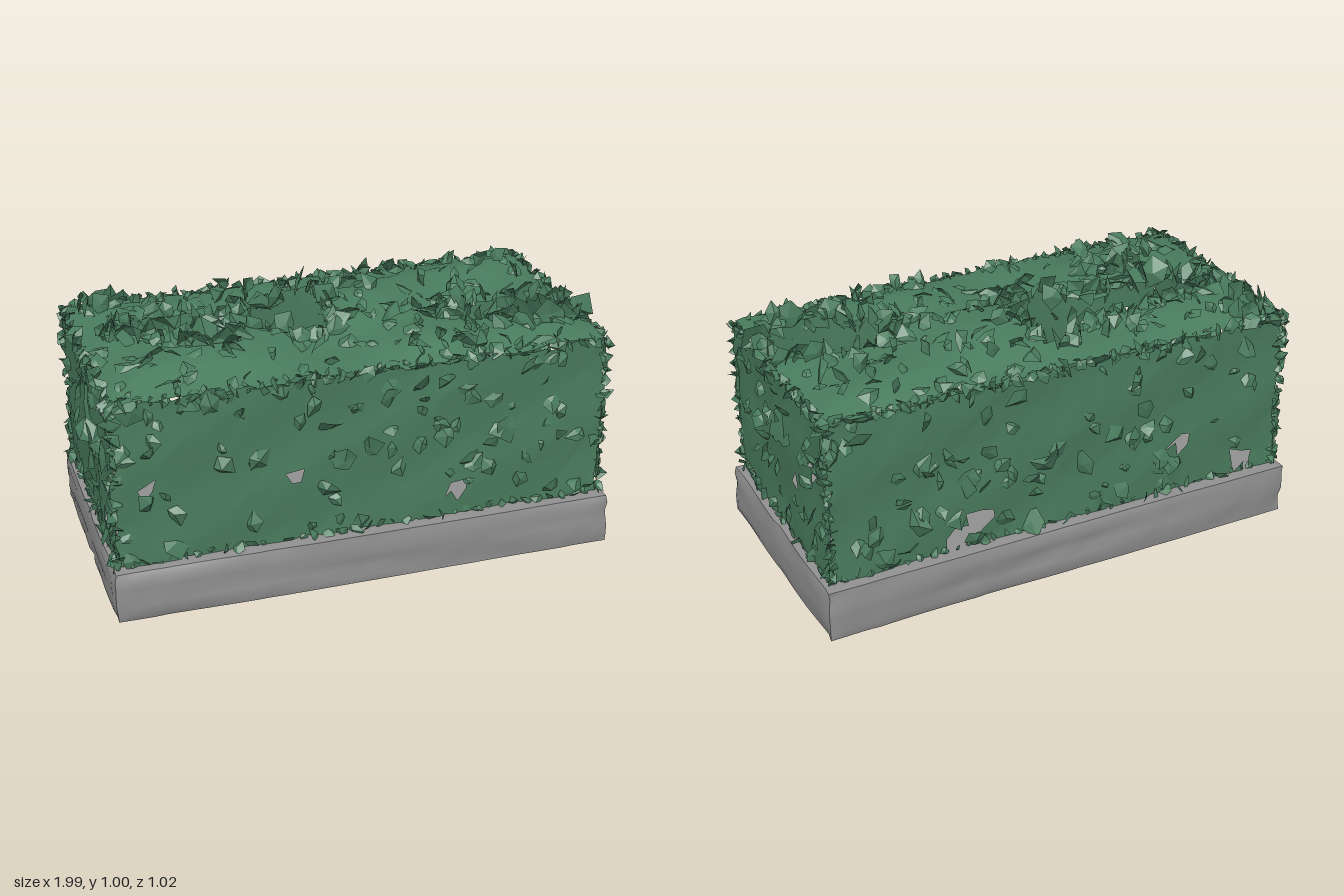
import * as THREE from 'three';
import { mergeGeometries } from 'three/addons/utils/BufferGeometryUtils.js';

// seeded random numbers
function makeRandom(seed) {
  let s = seed;
  return (a = 0, b = 1) => {
    s = (s * 1664525 + 1013904223) % 4294967296;
    return a + (b - a) * (s / 4294967296);
  };
}

const V = (x, y, z) => new THREE.Vector3(x, y, z);

// soft bumps used for hedge and stone
const bump = (a, b) => Math.sin(a * 7.1 + b * 3.3) * 0.5 + Math.sin(b * 9.7 - a * 4.1 + 1) * 0.5;

export function createModel() {
  const rnd = makeRandom(77);
  const foliage = new THREE.MeshStandardMaterial({ color: 0x4a7d5e, side: THREE.DoubleSide });
  foliage.name = 'hedge green';
  const leafMat = new THREE.MeshStandardMaterial({ color: 0x4a7d5e, side: THREE.DoubleSide, flatShading: true });
  leafMat.name = 'leaf green';
  const stone = new THREE.MeshStandardMaterial({ color: 0x919191 });
  stone.name = 'stone grey';

  const model = new THREE.Group();
  model.name = 'hedgePlanter';

  // stone base: box with worn edges, dents that break at the block seams
  const hx = 0.984, hz = 0.511, hy = 0.105;
  const base = new THREE.BoxGeometry(hx * 2, hy * 2, hz * 2, 40, 6, 20);
  const p = base.attributes.position;
  for (let i = 0; i < p.count; i++) {
    const x = p.getX(i), y = p.getY(i), z = p.getZ(i);
    const onX = Math.abs(x) > hx - 1e-4, onY = Math.abs(y) > hy - 1e-4, onZ = Math.abs(z) > hz - 1e-4;
    const edge = onX + onY + onZ > 1 ? 0.007 : 0;
    const block = Math.floor(x / 0.4 + 0.02) * 2.3 + Math.floor(z / 0.5 - 0.04) * 1.7;
    const dent = 0.009 * Math.max(0, 0.2 + bump(x + y * 5 + block, z - y * 4 + block));
    p.setXYZ(i,
      x - (onX ? Math.sign(x) * (edge + dent) : 0) + 0.005,
      y - (onY ? Math.sign(y) * (edge * 0.5 + (y > 0 ? dent * 0.3 : 0)) : 0) + hy,
      z - (onZ ? Math.sign(z) * (edge + dent) : 0));
  }
  base.computeVertexNormals();
  const baseMesh = new THREE.Mesh(base, stone);
  baseMesh.name = 'stoneBase';
  model.add(baseMesh);

  // height of the lumpy top, low along its rim
  const topLift = (u, v) => {
    const rim = Math.min(1, Math.min(0.95 - Math.abs(u), 0.455 - Math.abs(v)) / 0.15);
    return Math.max(0, rim) * (0.03 + 0.022 * bump(u, v));
  };

  // each side: centre, directions across / up / outward, size, and ragged holes [u, v, ru, rv]
  const X = V(1, 0, 0), Y = V(0, 1, 0), Z = V(0, 0, 1);
  const yMid = 0.53, tall = 0.65;
  const sides = [
    { name: 'front', c: V(0, yMid, 0.455), u: X, v: Y, n: Z, w: 1.9, h: tall, leaves: 85, reach: 0.03,
      holes: [[0.36, -0.21, 0.045, 0.04], [-0.28, -0.06, 0.03, 0.03], [-0.84, -0.03, 0.025, 0.03], [0.78, -0.03, 0.03, 0.02]] },
    { name: 'back', c: V(0, yMid, -0.455), u: X.clone().negate(), v: Y, n: Z.clone().negate(), w: 1.9, h: tall, leaves: 85, reach: 0.03,
      holes: [[-0.36, -0.22, 0.05, 0.05], [-0.45, -0.28, 0.06, 0.04], [0.8, -0.26, 0.06, 0.05], [0.5, -0.12, 0.03, 0.03]] },
    { name: 'left', c: V(0.947, yMid, 0), u: Z.clone().negate(), v: Y, n: X, w: 0.91, h: tall, leaves: 38, reach: 0.025,
      holes: [[-0.05, 0.08, 0.15, 0.04], [0.02, 0.12, 0.05, 0.06], [0.33, 0.08, 0.08, 0.02], [-0.4, -0.29, 0.05, 0.04], [0.14, -0.05, 0.025, 0.025]] },
    { name: 'right', c: V(-0.947, yMid, 0), u: Z, v: Y, n: X.clone().negate(), w: 0.91, h: tall, leaves: 38, reach: 0.025,
      holes: [[0.05, 0.08, 0.16, 0.05], [-0.02, 0.12, 0.06, 0.07], [0.3, -0.2, 0.05, 0.04]] },
    { name: 'top', c: V(0, 0.86, 0), u: X, v: Z.clone().negate(), n: Y, w: 1.9, h: 0.91, leaves: 110, reach: 0.05, lift: topLift,
      holes: [[-0.58, 0.1, 0.27, 0.09], [-0.2, 0.08, 0.2, 0.12], [-0.07, 0.18, 0.08, 0.16], [-0.1, -0.07, 0.1, 0.08],
        [-0.5, -0.13, 0.1, 0.04], [0.66, -0.1, 0.26, 0.1], [0.76, -0.2, 0.17, 0.1], [0.43, -0.36, 0.05, 0.05], [-0.82, 0.37, 0.07, 0.06]] },
  ];

  const inHole = (s, u, v) => s.holes.some(([a, b, ru, rv]) => ((u - a) / ru) ** 2 + ((v - b) / rv) ** 2 < 1);
  const place = (s, u, v, out) => s.c.clone().addScaledVector(s.u, u).addScaledVector(s.v, v)
    .addScaledVector(s.n, out + (s.lift ? s.lift(u, v) : 0));

  // jittered sheet with the triangles inside the holes left out
  function sheet(s) {
    const nx = Math.round(s.w / 0.05), ny = Math.round(s.h / 0.05);
    const geo = new THREE.PlaneGeometry(s.w, s.h, nx, ny);
    const pos = geo.attributes.position, flat = [];
    for (let i = 0; i < pos.count; i++) {
      const u = pos.getX(i) + rnd(-0.016, 0.016), v = pos.getY(i) + rnd(-0.016, 0.016);
      flat.push([u, v]);
      const q = place(s, u, v, 0.008 * bump(u * 1.6, v * 1.6) + rnd(-0.003, 0.003));
      pos.setXYZ(i, q.x, q.y, q.z);
    }
    const keep = [], idx = geo.index.array;
    for (let i = 0; i < idx.length; i += 3) {
      const t = [idx[i], idx[i + 1], idx[i + 2]];
      const mid = k => (flat[t[0]][k] + flat[t[1]][k] + flat[t[2]][k]) / 3;
      if (!inHole(s, mid(0), mid(1))) keep.push(...t);
    }
    geo.setIndex(keep);
    geo.computeVertexNormals();
    return geo;
  }

  // one bent ragged leaf: a fan of five points around a raised middle
  function leaf(centre, normal, size, tilt) {
    const geo = new THREE.CircleGeometry(size, 5);
    const pos = geo.attributes.position;
    pos.setZ(0, size * rnd(0.15, 0.4));
    for (let i = 1; i < 6; i++) {
      const k = rnd(0.45, 1.25);
      pos.setXYZ(i, pos.getX(i) * k, pos.getY(i) * k, size * rnd(-0.25, 0.25));
    }
    pos.setXYZ(6, pos.getX(1), pos.getY(1), pos.getZ(1));
    geo.rotateZ(rnd(0, 6.28)).rotateX(tilt).rotateZ(rnd(0, 6.28));
    geo.applyQuaternion(new THREE.Quaternion().setFromUnitVectors(Z, normal));
    geo.translate(centre.x, centre.y, centre.z);
    geo.computeVertexNormals();
    return geo;
  }

  for (const s of sides) {
    const wall = new THREE.Mesh(sheet(s), foliage);
    wall.name = s.name + 'Foliage';
    const leaves = [];
    // leaves scattered over the face
    while (leaves.length < s.leaves) {
      const u = rnd(-0.49, 0.49) * s.w, v = rnd(-0.46, 0.48) * s.h;
      if (inHole(s, u, v)) continue;
      leaves.push(leaf(place(s, u, v, rnd(0, s.reach * 0.4)), s.n, rnd(0.025, 0.058), rnd(0.1, 0.9)));
    }
    // ragged leaves along the four edges
    const rim = (u, v) => leaves.push(leaf(place(s, u, v, rnd(-0.008, 0.01)), s.n, rnd(0.02, 0.042), rnd(0.3, 1.4)));
    for (const e of [-0.48, 0.5]) {
      for (let t = 0; t < s.w; t += 0.05) rim(t - s.w / 2, e * s.h);
    }
    for (const e of [-0.5, 0.5]) {
      for (let t = 0.03; t < s.h; t += 0.05) rim(e * s.w, t - s.h / 2);
    }
    if (s.lift) {
      // upright sprigs on the crown, tallest in two ridges
      for (let i = 0; i < 85; i++) {
        const u = rnd(-0.46, 0.46) * s.w, v = rnd(-0.45, 0.45) * s.h;
        const rise = 0.02 + 0.045 * Math.abs(Math.cos((v - 0.27) * 6));
        if (!inHole(s, u, v)) leaves.push(leaf(place(s, u, v, rnd(0.1, 1) * rise), s.n, rnd(0.028, 0.048), rnd(0.7, 1.5)));
      }
      // steep leaves standing around the openings
      for (const [a, b, ru, rv] of s.holes) {
        for (let t = 0; t < 6.28; t += 0.055 / Math.max(ru, rv)) {
          const u = a + Math.cos(t) * ru * 1.03, v = b + Math.sin(t) * rv * 1.03;
          if (!inHole(s, u, v)) leaves.push(leaf(place(s, u, v, rnd(0, 0.03)), s.n, rnd(0.04, 0.065), rnd(1.2, 1.57)));
        }
      }
    }
    const leafMesh = new THREE.Mesh(mergeGeometries(leaves), leafMat);
    leafMesh.name = s.name + 'Leaves';
    model.add(wall, leafMesh);
  }
  return model;
}
